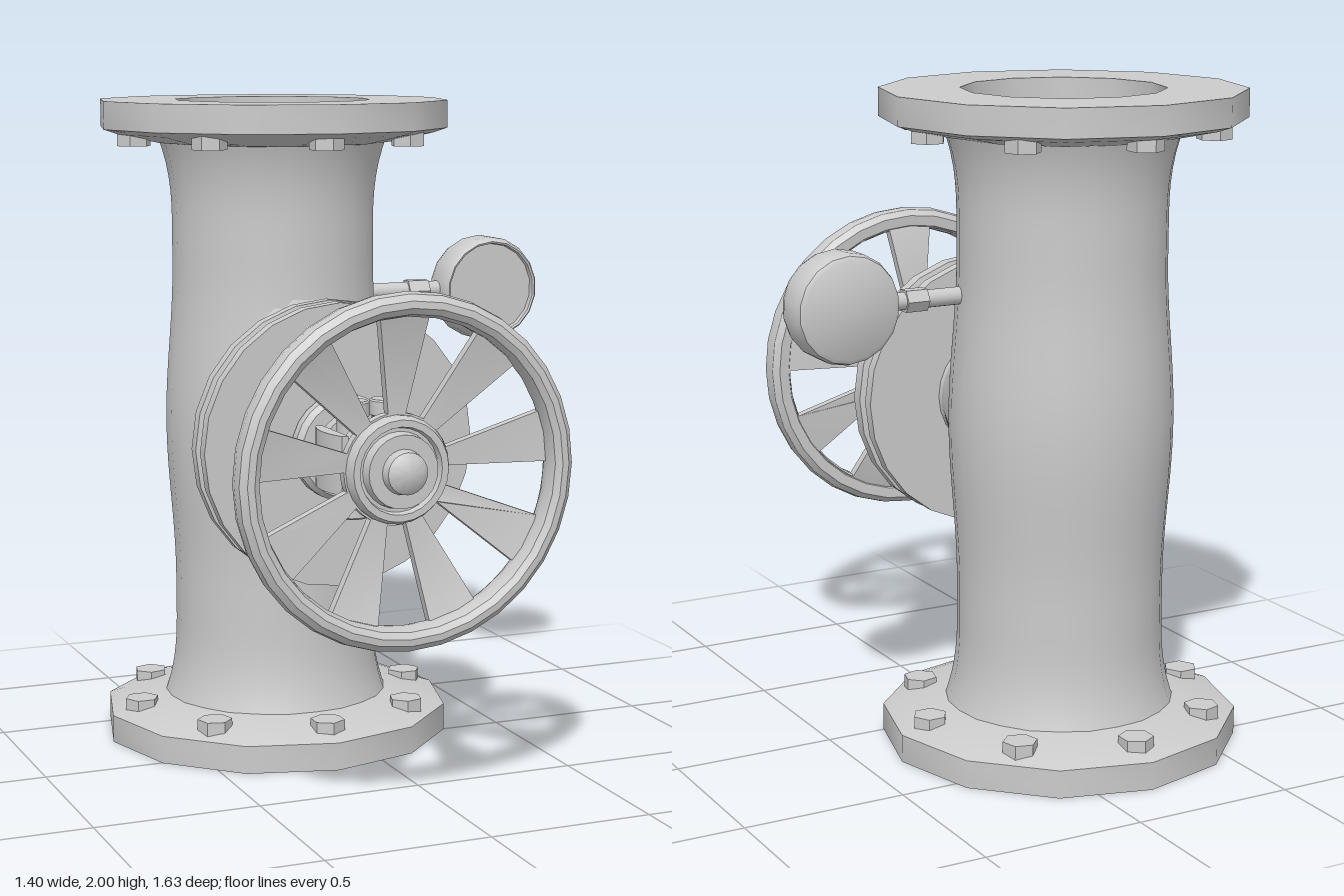
import * as THREE from 'three';
import { toCreasedNormals } from 'three/addons/utils/BufferGeometryUtils.js';

const AX = -0.16, AZ = -0.27; // pipe axis
const material = new THREE.MeshStandardMaterial({ color: 0xcccccc });

function add(parent, name, geometry, x = 0, y = 0, z = 0) {
  const mesh = new THREE.Mesh(geometry, material);
  mesh.name = name;
  mesh.position.set(x, y, z);
  parent.add(mesh);
  return mesh;
}

// Turned part; profile rows are [radius, height]
function turned(rows, sides, crease = 0.6) {
  const points = rows.map(([r, h]) => new THREE.Vector2(r, h));
  return toCreasedNormals(new THREE.LatheGeometry(points, sides), crease);
}
const turnedZ = (rows, sides) => turned(rows, sides).rotateX(Math.PI / 2);

// Radius of the pipe at height y, with a soft bulge at the middle
function pipeRadius(y) {
  const d = Math.abs(y - 1);
  const bulge = d < 0.5 ? 0.5 + 0.5 * Math.cos(Math.PI * d / 0.5) : 0;
  const flare = Math.max(0, (d - 0.62) / 0.25);
  return 0.315 + 0.025 * bulge + 0.035 * flare ** 2.5;
}

// Saddle blending the pipe wall into the round side neck
function saddleGeometry() {
  const around = 32, steps = 8, pos = [], index = [];
  const wallZ = (x, y) => AZ + Math.sqrt(pipeRadius(1 + y) ** 2 - x * x);
  for (let j = 0; j <= steps; j++) {
    const t = j / steps, a = (1 - t) ** 2, b = 2 * t * (1 - t), c = t * t;
    for (let i = 0; i < around; i++) {
      const u = i / around * Math.PI * 2, cx = Math.cos(u), sy = Math.sin(u);
      const x0 = 0.29 * cx, y0 = 0.45 * sy, x1 = 0.235 * cx, y1 = 0.245 * sy;
      pos.push(
        a * x0 + b * x1 + c * 0.185 * cx,
        a * y0 + b * y1 + c * 0.185 * sy,
        a * (wallZ(x0, y0) - 0.01) + b * (wallZ(x1, y1) + 0.03) + c * 0.15);
    }
  }
  for (let j = 0; j < steps; j++) for (let i = 0; i < around; i++) {
    const p = j * around + i, q = j * around + (i + 1) % around;
    index.push(p, q, q + around, p, q + around, p + around);
  }
  const g = new THREE.BufferGeometry();
  g.setAttribute('position', new THREE.Float32BufferAttribute(pos, 3));
  g.setIndex(index);
  g.computeVertexNormals();
  return g;
}

// Dished disc with nine tapering windows between the spokes
function spokesGeometry() {
  const shape = new THREE.Shape().absarc(0, 0, 0.46, 0, Math.PI * 2);
  shape.holes.push(new THREE.Path().absarc(0, 0, 0.1, 0, Math.PI * 2, true));
  for (let k = 0; k < 9; k++) {
    const mid = -Math.PI / 2 + k * Math.PI * 2 / 9, half = 0.18;
    const hole = new THREE.Path();
    hole.absarc(0, 0, 0.445, mid - half, mid + half, false);
    hole.absarc(0, 0, 0.16, mid + half, mid - half, true);
    hole.closePath();
    shape.holes.push(hole);
  }
  const g = new THREE.ExtrudeGeometry(shape, { depth: 0.03, bevelEnabled: false, curveSegments: 18 });
  const p = g.attributes.position;
  for (let i = 0; i < p.count; i++) {
    const r = Math.hypot(p.getX(i), p.getY(i));
    p.setZ(i, p.getZ(i) + 0.66 + (r - 0.1) * 0.19);
  }
  return toCreasedNormals(g, 0.5);
}

export function createModel() {
  const model = new THREE.Group();
  model.name = 'gateValve';

  // Pipe body
  const body = [];
  for (let i = 0; i <= 40; i++) {
    const y = 0.1 + 1.8 * i / 40;
    body.push([pipeRadius(y), y]);
  }
  add(model, 'pipeBody', turned(body, 24), AX, 0, AZ);
  add(model, 'sideNeck', saddleGeometry(), AX, 1, 0);

  // Two end flanges with shallow bores and eight hex bolts each
  for (const end of ['bottom', 'top']) {
    const flange = new THREE.Group();
    flange.name = end + 'Flange';
    flange.position.set(AX, end === 'top' ? 2 : 0, AZ);
    if (end === 'top') flange.rotation.z = Math.PI;
    add(flange, 'flangeDisc', turned([[0, 0.16], [0.305, 0.16], [0.305, 0], [0.545, 0],
      [0.545, 0.085], [0.5, 0.1], [0.37, 0.128], [0.3, 0.135]], 12));
    for (let k = 0; k < 8; k++) {
      const a = k * Math.PI / 4;
      const bolt = add(flange, 'flangeBolt', toCreasedNormals(new THREE.CylinderGeometry(0.053, 0.053, 0.045, 6), 0.5),
        0.45 * Math.sin(a), 0.113, 0.45 * Math.cos(a));
      bolt.rotation.y = a;
    }
    model.add(flange);
  }

  // Bonnet plates, collar and the inner yoke disc
  const stem = new THREE.Group();
  stem.name = 'bonnetAndWheel';
  stem.position.set(AX, 1, 0);
  model.add(stem);
  add(stem, 'bonnet', turnedZ([[0.185, 0.1], [0.185, 0.17], [0.425, 0.17], [0.425, 0.207],
    [0.4, 0.212], [0.4, 0.24], [0.425, 0.245], [0.425, 0.285], [0.13, 0.285], [0.135, 0.292],
    [0.16, 0.297], [0.16, 0.33], [0.145, 0.348], [0.1, 0.348], [0.1, 0.4], [0.125, 0.4],
    [0.125, 0.442], [0, 0.442]], 24));

  // Yoke cheeks and clamp bolts
  const cheek = new THREE.Shape();
  cheek.moveTo(0.105, 0.4);
  cheek.lineTo(0.125, 0.4);
  cheek.quadraticCurveTo(0.165, 0.5, 0.125, 0.6);
  cheek.lineTo(0.105, 0.6);
  cheek.closePath();
  const cheekGeometry = toCreasedNormals(
    new THREE.ExtrudeGeometry(cheek, { depth: 0.17, bevelEnabled: false })
      .rotateX(Math.PI / 2).translate(0, 0.085, 0), 0.5);
  const clampBolt = turned([[0, -0.17], [0.045, -0.17], [0.05, -0.165], [0.05, -0.125], [0.043, -0.12],
    [0.043, 0.12], [0.05, 0.125], [0.05, 0.165], [0.045, 0.17], [0, 0.17]], 16);
  for (const s of [1, -1]) {
    add(stem, 'yokeCheek', cheekGeometry).rotation.z = s > 0 ? 0 : Math.PI;
    add(stem, 'clampBolt', clampBolt, s * 0.054, 0, 0.502);
  }

  // Hub with outer yoke disc, stem and centre nut
  add(stem, 'hub', turnedZ([[0, 0.557], [0.125, 0.557], [0.125, 0.6], [0.1, 0.6], [0.1, 0.645],
    [0.125, 0.662], [0.155, 0.668], [0.155, 0.715], [0.145, 0.735], [0.125, 0.735], [0.12, 0.715],
    [0.11, 0.715], [0.105, 0.75], [0.065, 0.75], [0.06, 0.78], [0.04, 0.795], [0, 0.8]], 24));
  add(stem, 'wheelSpokes', spokesGeometry());
  add(stem, 'wheelRim', turnedZ([[0.44, 0.74], [0.452, 0.722], [0.485, 0.72], [0.503, 0.738], [0.508, 0.765],
    [0.503, 0.793], [0.485, 0.81], [0.465, 0.812], [0.447, 0.8], [0.438, 0.77], [0.44, 0.74]], 32));

  // Pressure gauge on a side pipe
  const gauge = new THREE.Group();
  gauge.name = 'pressureGauge';
  gauge.position.set(0.53, 1.395, -0.255);
  model.add(gauge);
  add(gauge, 'gaugeCase', turnedZ([[0, 0], [0.145, 0], [0.158, 0.008], [0.165, 0.03], [0.165, 0.105],
    [0.158, 0.128], [0.152, 0.135], [0.146, 0.132], [0.144, 0.115], [0, 0.115]], 18));
  add(gauge, 'gaugePipe', new THREE.CylinderGeometry(0.027, 0.027, 0.34, 12).rotateZ(Math.PI / 2), -0.3, 0, 0.065);
  add(gauge, 'gaugeNut', toCreasedNormals(new THREE.CylinderGeometry(0.037, 0.037, 0.07, 6), 0.5)
    .rotateZ(Math.PI / 2), -0.235, 0, 0.065);

  return model;
}
